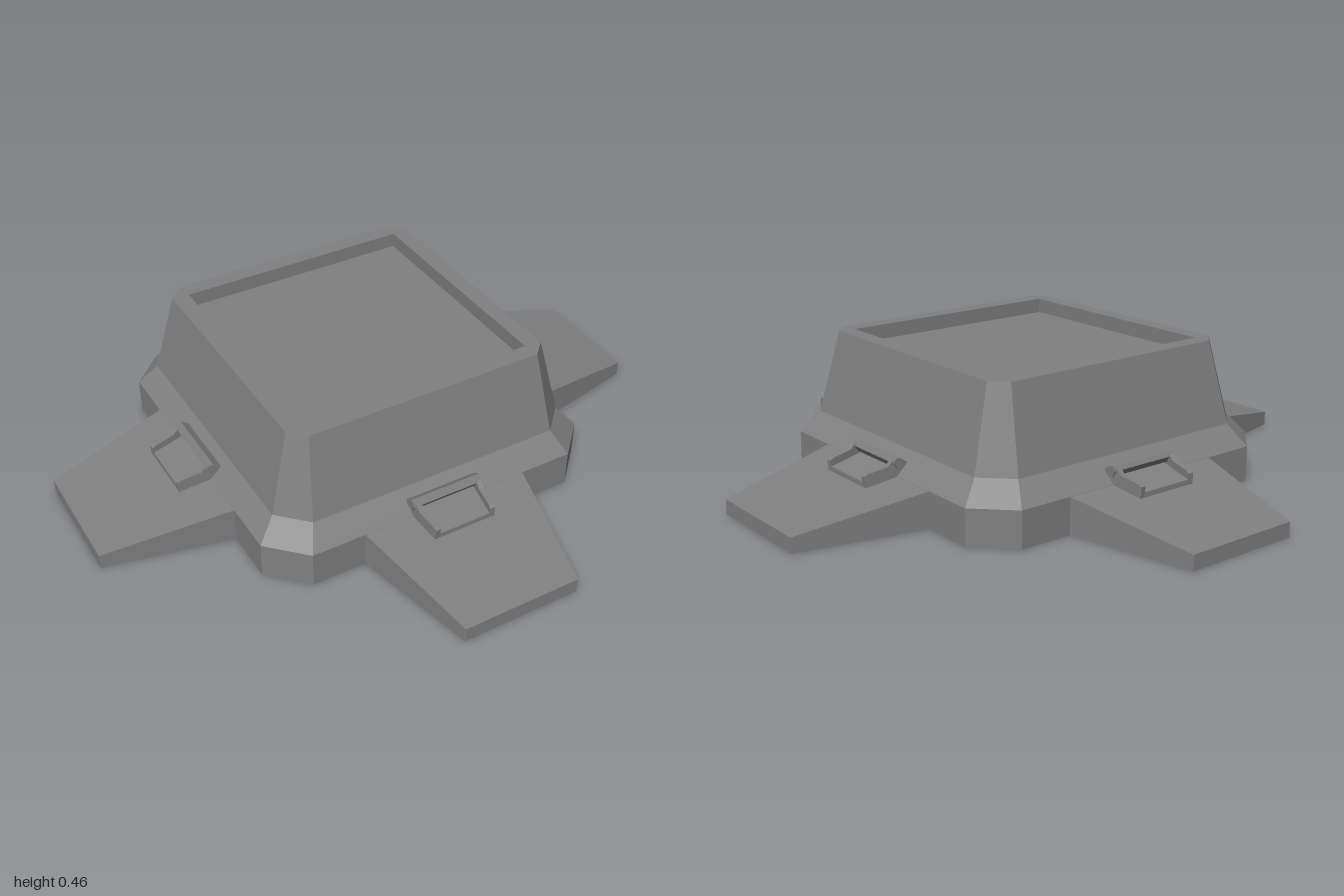
import * as THREE from 'three';

// Joins rings of points (counter-clockwise from above) and caps both ends
function loft(rings) {
  const pos = [];
  const tri = (a, b, c) => {
    const area = b.clone().sub(a).cross(c.clone().sub(a)).length();
    if (area > 1e-7) pos.push(...a.toArray(), ...b.toArray(), ...c.toArray());
  };
  const n = rings[0].length;
  for (let r = 0; r < rings.length - 1; r++) {
    for (let i = 0; i < n; i++) {
      const j = (i + 1) % n, lo = rings[r], hi = rings[r + 1];
      tri(lo[i], lo[j], hi[j]);
      tri(lo[i], hi[j], hi[i]);
    }
  }
  const first = rings[0], last = rings[rings.length - 1];
  for (let i = 1; i < n - 1; i++) {
    tri(first[0], first[i + 1], first[i]);
    tri(last[0], last[i], last[i + 1]);
  }
  const g = new THREE.BufferGeometry();
  g.setAttribute('position', new THREE.Float32BufferAttribute(pos, 3));
  g.computeVertexNormals();
  return g;
}

// Square ring of half-width h with its corners cut back to c
function ring(h, c, y) {
  return [[h, c], [h, -c], [c, -h], [-c, -h], [-h, -c], [-h, c], [-c, h], [c, h]]
    .map(([x, z]) => new THREE.Vector3(x, y, z));
}

// Extrudes a (z, y) side profile to a width centred on x = 0
function sideProfile(points, width) {
  const shape = new THREE.Shape(points.map(([z, y]) => new THREE.Vector2(z, y)));
  return new THREE.ExtrudeGeometry(shape, { depth: width, bevelEnabled: false })
    .rotateY(-Math.PI / 2)
    .translate(width / 2, 0, 0);
}

export function createModel() {
  const model = new THREE.Group();
  model.name = 'landingPlatform';
  const grey = new THREE.MeshStandardMaterial({ color: 0x808080, flatShading: true });
  grey.name = 'metalGrey';

  const add = (parent, name, geometry) => {
    const mesh = new THREE.Mesh(geometry, grey);
    mesh.name = name;
    parent.add(mesh);
    return mesh;
  };

  // Plinth, sloping walls, rim and sunken top
  add(model, 'body', loft([
    ring(0.585, 0.47, 0), ring(0.585, 0.47, 0.12), ring(0.525, 0.435, 0.19),
    ring(0.457, 0.407, 0.46), ring(0.4, 0.4, 0.46), ring(0.4, 0.4, 0.41),
  ]));

  // Tapered ramp sloping down to its outer end
  const outline = [[0.29, 0.58], [-0.29, 0.58], [-0.2, 1], [0.2, 1]];
  const rampGeometry = loft([
    outline.map(([x, z]) => new THREE.Vector3(x, 0, z)),
    outline.map(([x, z]) => new THREE.Vector3(x, z < 1 ? 0.12 : 0.05, z)),
  ]);

  // Step tray: two rails, a raised back bar and a sloping panel
  const railGeometry = sideProfile(
    [[0.56, 0.11], [0.695, 0.1], [0.698, 0.138], [0.685, 0.145], [0.62, 0.155],
      [0.6, 0.174], [0.57, 0.17]], 0.018);
  const barGeometry = sideProfile(
    [[0.55, 0.145], [0.585, 0.145], [0.598, 0.165], [0.59, 0.178], [0.575, 0.178], [0.55, 0.162]], 0.25);
  const panelGeometry = sideProfile(
    [[0.55, 0.11], [0.69, 0.095], [0.69, 0.118], [0.58, 0.138], [0.55, 0.15]], 0.205);

  for (let i = 0; i < 4; i++) {
    const side = new THREE.Group();
    side.name = 'rampSide' + (i + 1);
    side.rotation.y = i * Math.PI / 2;
    add(side, 'ramp', rampGeometry);
    add(side, 'trayBar', barGeometry);
    add(side, 'trayPanel', panelGeometry);
    for (const s of [-1, 1]) {
      // Rails close in slightly towards the outer end
      const rail = add(side, 'trayRail', railGeometry);
      rail.rotation.y = -s * 0.12;
      rail.position.x = s * (0.107 + 0.63 * Math.sin(0.12));
    }
    model.add(side);
  }
  return model;
}
